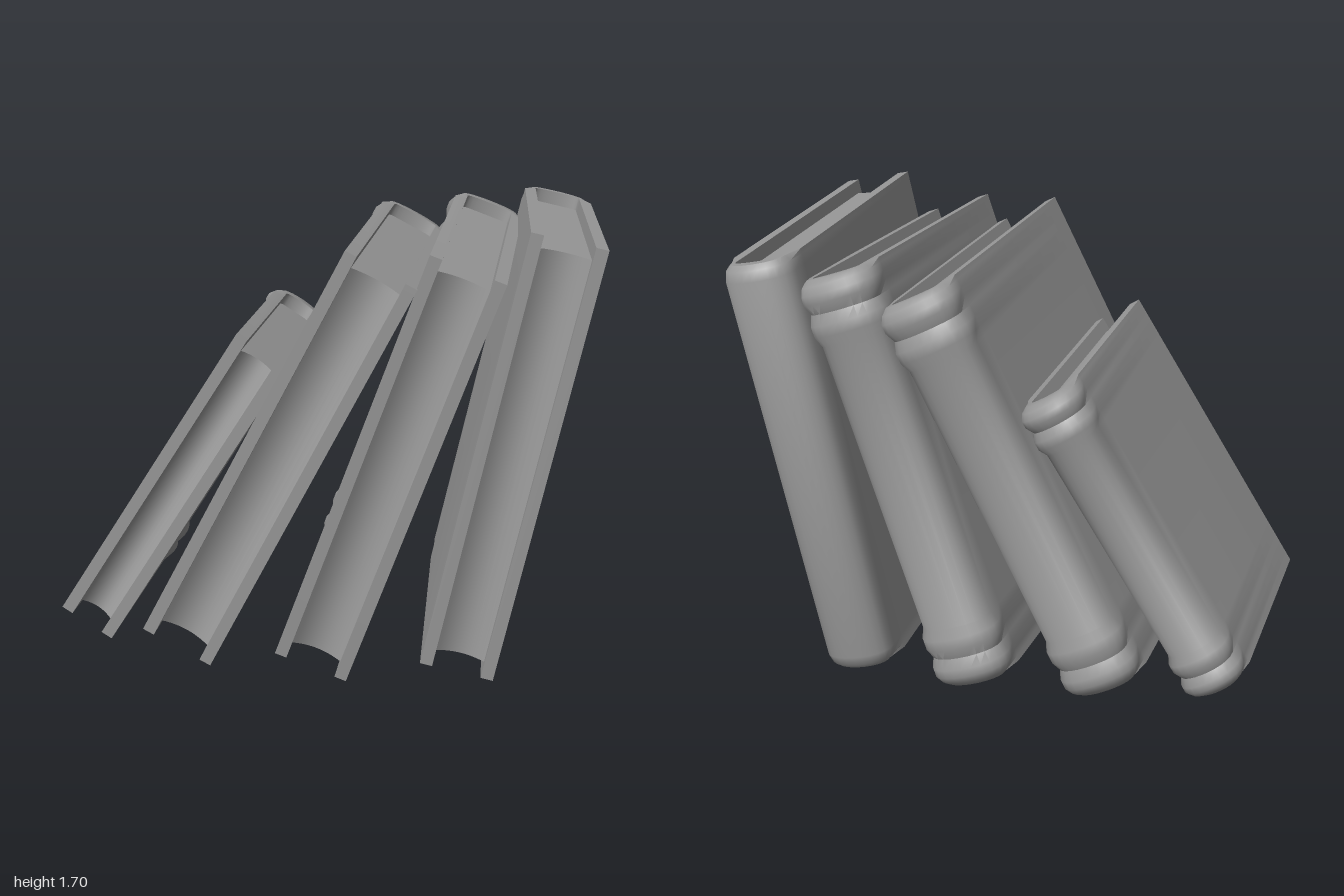
import * as THREE from 'three';
import { toCreasedNormals } from 'three/addons/utils/BufferGeometryUtils.js';

const COVER = 0.045;  // board thickness
const RECESS = 0.05;  // how far the pages sit inside the boards
const SPINE = 0.1;    // depth of the rounded back
const ARC = 12;

// Rows near one end of the spine: [share of height, outward swell]
const BANDED = [[0, -0.025], [0.012, 0], [0.03, 0.016], [0.05, 0.016], [0.075, 0],
  [0.1, 0.016], [0.125, 0.016], [0.15, 0]];
const PLAIN = [[0, -0.03], [0.012, -0.01], [0.035, 0]];

// One side of the U-shaped plan: front left, round the spine, front right
function planLine(t, d, inset, depth, swell) {
  const half = t / 2 - inset, z0 = -(d - SPINE);
  const pts = [[-t / 2 - half, 0], [-t / 2 - half, z0 + 0.08]];
  for (let i = 0; i <= ARC; i++) {
    const a = (Math.PI * i) / ARC;
    pts.push([-t / 2 - (half + swell) * Math.cos(a),
      z0 - (depth + swell) * Math.pow(Math.sin(a), 0.8)]);
  }
  pts.push([-t / 2 + half, z0 + 0.08], [-t / 2 + half, 0]);
  return pts;
}

// Boards and spine in one piece, lofted up the height of the book
function coverGeometry(t, h, d, ends) {
  const rows = [...ends.map(([f, s]) => [f * h, s]),
    ...ends.slice().reverse().map(([f, s]) => [(1 - f) * h, s])];
  const pos = [], idx = [];
  const inner = planLine(t, d, COVER, 0.03, 0).reverse();
  for (const [y, s] of rows)
    for (const [x, z] of [...planLine(t, d, 0, SPINE, s), ...inner]) pos.push(x, y, z);
  const n = inner.length * 2;
  for (let r = 0; r < rows.length - 1; r++)
    for (let j = 0; j < n; j++) {
      const a = r * n + j, c = r * n + (j + 1) % n;
      idx.push(a, a + n, c, a + n, c + n, c);
    }
  // Rims at the bottom and top
  const top = (rows.length - 1) * n;
  for (let k = 0; k < n / 2 - 1; k++) {
    const o = k, p = k + 1, i = n - 1 - k, q = n - 2 - k;
    idx.push(top + o, top + i, top + p, top + p, top + i, top + q);
    idx.push(o, p, i, p, q, i);
  }
  const g = new THREE.BufferGeometry();
  g.setAttribute('position', new THREE.Float32BufferAttribute(pos, 3));
  g.setIndex(idx);
  return toCreasedNormals(g, 0.75);
}

// Page block with a hollow fore-edge
function pagesGeometry(t, h, d) {
  const l = -t + COVER - 0.005, r = -COVER + 0.005, back = d - SPINE + 0.02;
  const s = new THREE.Shape();
  s.moveTo(l, RECESS - 0.02);
  s.quadraticCurveTo(-t / 2, RECESS + 0.05, r, RECESS - 0.02);
  s.lineTo(r, back);
  s.lineTo(l, back);
  s.closePath();
  const g = new THREE.ExtrudeGeometry(s, { depth: h - 2 * RECESS, bevelEnabled: false, curveSegments: 10 });
  g.rotateX(-Math.PI / 2); // shape y becomes -z, extrusion becomes height
  g.translate(0, RECESS, 0);
  return toCreasedNormals(g, 0.6);
}

export function createModel() {
  const model = new THREE.Group();
  model.name = 'leaningBooks';
  const grey = new THREE.MeshStandardMaterial({ color: 0x999999 });
  grey.name = 'grey';

  // Each book is placed by its lower front right corner
  const books = [
    { name: 'smallBook', t: 0.22, h: 1.26, d: 1.05, at: [-0.8, 0.1, 0.54], lean: 0.571, yaw: 0.03, pitch: 0, ends: BANDED },
    { name: 'secondBook', t: 0.28, h: 1.6, d: 1.33, at: [-0.39, 0.07, 0.68], lean: 0.489, yaw: 0.025, pitch: 0.025, ends: BANDED },
    { name: 'thirdBook', t: 0.28, h: 1.605, d: 1.31, at: [0.1, 0.005, 0.6], lean: 0.36, yaw: 0.03, pitch: 0.065, ends: BANDED },
    { name: 'plainBook', t: 0.27, h: 1.61, d: 1.33, at: [0.64, 0.05, 0.63], lean: 0.226, yaw: 0.065, pitch: 0.01, ends: PLAIN },
  ];
  for (const b of books) {
    const book = new THREE.Group();
    book.name = b.name;
    const cover = new THREE.Mesh(coverGeometry(b.t, b.h, b.d, b.ends), grey);
    cover.name = 'cover';
    const pages = new THREE.Mesh(pagesGeometry(b.t, b.h, b.d), grey);
    pages.name = 'pages';
    book.add(cover, pages);
    book.position.set(...b.at);
    book.rotation.set(b.pitch, b.yaw, -b.lean, 'ZXY');
    model.add(book);
  }
  return model;
}
